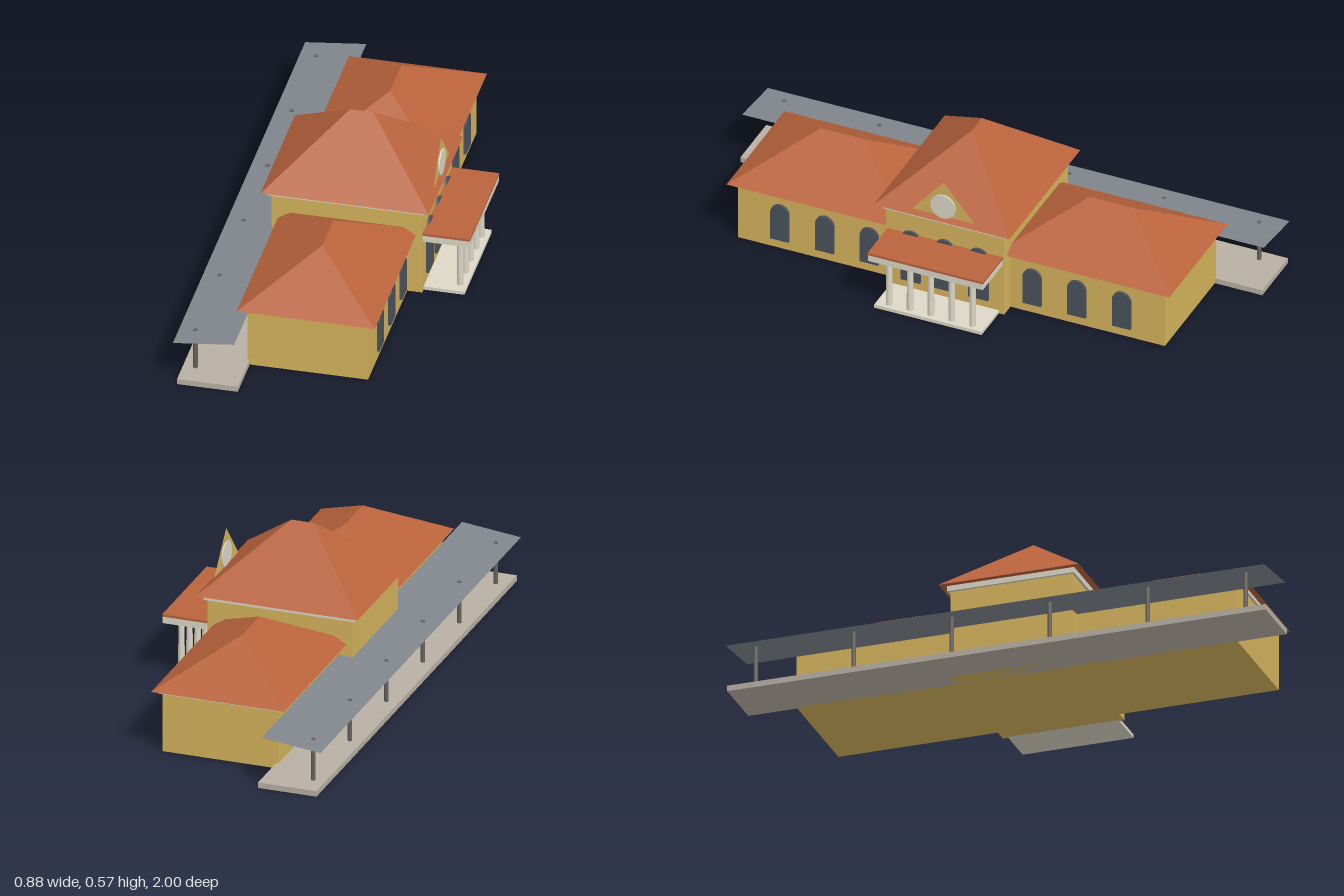
import * as THREE from 'three';
import { ConvexGeometry } from 'three/addons/geometries/ConvexGeometry.js';

const paint = (color, side = THREE.FrontSide) => new THREE.MeshStandardMaterial({ color, side });
const wallMat = paint(0xd4b35c), roofMat = paint(0xb9633c), trimMat = paint(0xdcd7c6);
const glassMat = paint(0x4a525c), slabMat = paint(0xb8b0a4), postMat = paint(0x66625e);
const gableMat = paint(0xd4b35c, THREE.DoubleSide), shelterMat = paint(0x80868c, THREE.DoubleSide);

export function createModel() {
  const model = new THREE.Group();
  model.name = 'stationBuilding';

  const add = (name, geometry, material, x = 0, y = 0, z = 0) => {
    const mesh = new THREE.Mesh(geometry, material);
    mesh.name = name;
    mesh.position.set(x, y, z);
    model.add(mesh);
    return mesh;
  };

  // Box given by its extents on each axis
  const box = (name, material, [x0, x1], [y0, y1], [z0, z1]) =>
    add(name, new THREE.BoxGeometry(x1 - x0, y1 - y0, z1 - z0), material,
      (x0 + x1) / 2, (y0 + y1) / 2, (z0 + z1) / 2);

  // Hipped roof: rectangular eaves with a ridge of half-lengths rx, rz
  const hipRoof = (name, hx, hz, rx, rz, y0, y1, z) => {
    const points = [[1, 1], [1, -1], [-1, 1], [-1, -1]].map(([a, b]) => new THREE.Vector3(a * hx, y0, b * hz));
    for (const s of [1, -1]) points.push(new THREE.Vector3(s * rx, y1, s * rz));
    add(name, new ConvexGeometry(points), roofMat, 0, 0, z);
  };

  // Round-headed opening on the +x wall
  const archWindow = (name, x, y0, y1, z, width) => {
    const r = width / 2;
    const shape = new THREE.Shape();
    shape.moveTo(-r, 0);
    shape.lineTo(r, 0);
    shape.lineTo(r, y1 - y0 - r);
    shape.absarc(0, y1 - y0 - r, r, 0, Math.PI, false);
    shape.closePath();
    const geometry = new THREE.ExtrudeGeometry(shape, { depth: 0.01, bevelEnabled: false, curveSegments: 10 });
    add(name, geometry.rotateY(Math.PI / 2), glassMat, x, y0, z);
  };

  // Central hall
  box('hallWalls', wallMat, [-0.271, 0.271], [0, 0.328], [-0.226, 0.226]);
  box('hallCornice', trimMat, [-0.281, 0.281], [0.328, 0.348], [-0.236, 0.236]);
  hipRoof('hallRoof', 0.302, 0.26, 0.042, 0, 0.348, 0.574, 0);
  for (const z of [-0.13, 0, 0.13]) archWindow('hallDoor', 0.271, 0.046, 0.256, z, 0.075);

  // Two mirrored wings
  for (const s of [-1, 1]) {
    const c = s * 0.515;
    box('wingWalls', wallMat, [-0.217, 0.217], [0, 0.222], [c - 0.303, c + 0.303]);
    box('wingCornice', trimMat, [-0.227, 0.227], [0.222, 0.234], [c - 0.313, c + 0.313]);
    hipRoof('wingRoof', 0.248, 0.334, 0, 0.084, 0.234, 0.388, c);
    for (const z of [0.312, 0.483, 0.655]) archWindow('wingWindow', 0.218, 0.038, 0.186, s * z, 0.07);
  }

  // Freestanding gable with a round dial
  const gable = new THREE.Shape([[-0.132, 0.348], [0.132, 0.348], [0, 0.505]].map(p => new THREE.Vector2(...p)));
  add('gable', new THREE.ShapeGeometry(gable).rotateY(Math.PI / 2), gableMat, 0.285);
  add('gableDial', new THREE.CylinderGeometry(0.048, 0.048, 0.01, 24).rotateZ(Math.PI / 2), trimMat, 0.286, 0.405, 0);

  // Entrance porch
  box('porchStep', trimMat, [0.262, 0.418], [0, 0.013], [-0.206, 0.206]);
  box('porchBeam', trimMat, [0.262, 0.44], [0.208, 0.233], [-0.22, 0.22]);
  box('porchRoof', roofMat, [0.262, 0.441], [0.233, 0.242], [-0.221, 0.221]);
  for (let i = -2; i <= 2; i++) {
    add('porchColumn', new THREE.CylinderGeometry(0.011, 0.012, 0.196, 12), trimMat, 0.392, 0.111, i * 0.08);
  }

  // Rear platform, posts and thin sloping shelter
  box('platform', slabMat, [-0.426, -0.208], [0, 0.021], [-1, 1]);
  for (let i = 0; i < 6; i++) {
    add('shelterPost', new THREE.CylinderGeometry(0.008, 0.008, 0.158, 10), postMat, -0.381, 0.099, -0.91 + i * 0.364);
  }
  const shelter = add('shelterRoof', new THREE.PlaneGeometry(Math.hypot(0.22, 0.025), 2).rotateX(-Math.PI / 2),
    shelterMat, -0.331, 0.181, 0);
  shelter.rotation.z = Math.atan2(0.025, 0.22);

  return model;
}
